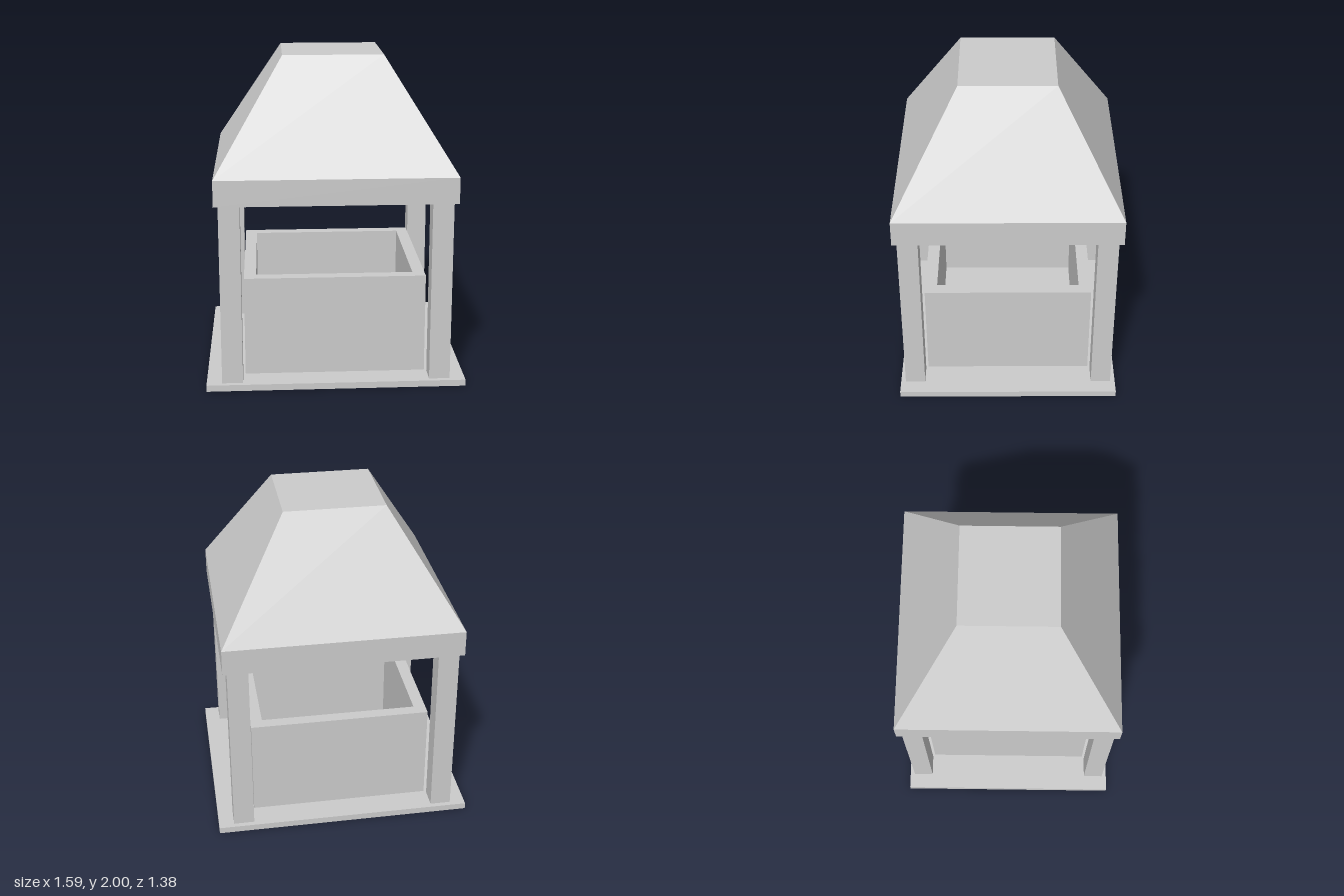
import * as THREE from 'three';

const material = new THREE.MeshStandardMaterial({ color: 0xcccccc, flatShading: true });

function addMesh(parent, name, geometry, x, y, z) {
  const mesh = new THREE.Mesh(geometry, material);
  mesh.name = name;
  mesh.position.set(x, y, z);
  parent.add(mesh);
  return mesh;
}

// Box given by its size and the height of its underside
function addBox(parent, name, w, h, d, x, y, z) {
  return addMesh(parent, name, new THREE.BoxGeometry(w, h, d), x, y + h / 2, z);
}

// Rectangular outline centred on the origin
function rectangle(PathType, hw, hd) {
  return new PathType([
    new THREE.Vector2(-hw, -hd), new THREE.Vector2(hw, -hd),
    new THREE.Vector2(hw, hd), new THREE.Vector2(-hw, hd),
  ]);
}

export function createModel() {
  const model = new THREE.Group();
  model.name = 'coveredWell';

  // Ground slab
  const slabTop = 0.04;
  addBox(model, 'baseSlab', 1.594, slabTop, 1.382, 0, 0, 0);

  // Open-topped basin with four thick walls
  const hw = 0.56, hd = 0.522, wall = 0.075, rim = 0.665;
  const outline = rectangle(THREE.Shape, hw, hd);
  outline.holes.push(rectangle(THREE.Path, hw - wall, hd - wall));
  const basin = new THREE.ExtrudeGeometry(outline, { depth: rim - slabTop, bevelEnabled: false });
  basin.rotateX(-Math.PI / 2);
  addMesh(model, 'basinWalls', basin, 0, slabTop, 0);

  // Corner posts
  const eaves = 1.165;
  const posts = new THREE.Group();
  posts.name = 'posts';
  model.add(posts);
  for (const [sx, side] of [[1, 'Left'], [-1, 'Right']]) {
    for (const [sz, end] of [[1, 'front'], [-1, 'back']]) {
      addBox(posts, `${end}${side}Post`, 0.128, eaves - slabTop, 0.125, sx * 0.638, slabTop, sz * 0.598);
    }
  }

  // Roof: straight fascia, then a hood tapering to a flat top
  const roof = new THREE.Group();
  roof.name = 'roof';
  model.add(roof);
  const w = 1.456, d = 1.376, hoodBase = 1.325, hoodHeight = 2 - hoodBase;
  addBox(roof, 'roofFascia', w, hoodBase - eaves, d, 0, eaves, 0);
  const hood = addBox(roof, 'roofHood', w, hoodHeight, d, 0, hoodBase, 0).geometry;
  const p = hood.attributes.position;
  for (let i = 0; i < p.count; i++) {
    if (p.getY(i) > 0) {
      p.setX(i, Math.sign(p.getX(i)) * 0.308);
      p.setZ(i, Math.sign(p.getZ(i)) * 0.292);
    }
  }
  hood.computeVertexNormals();

  return model;
}
